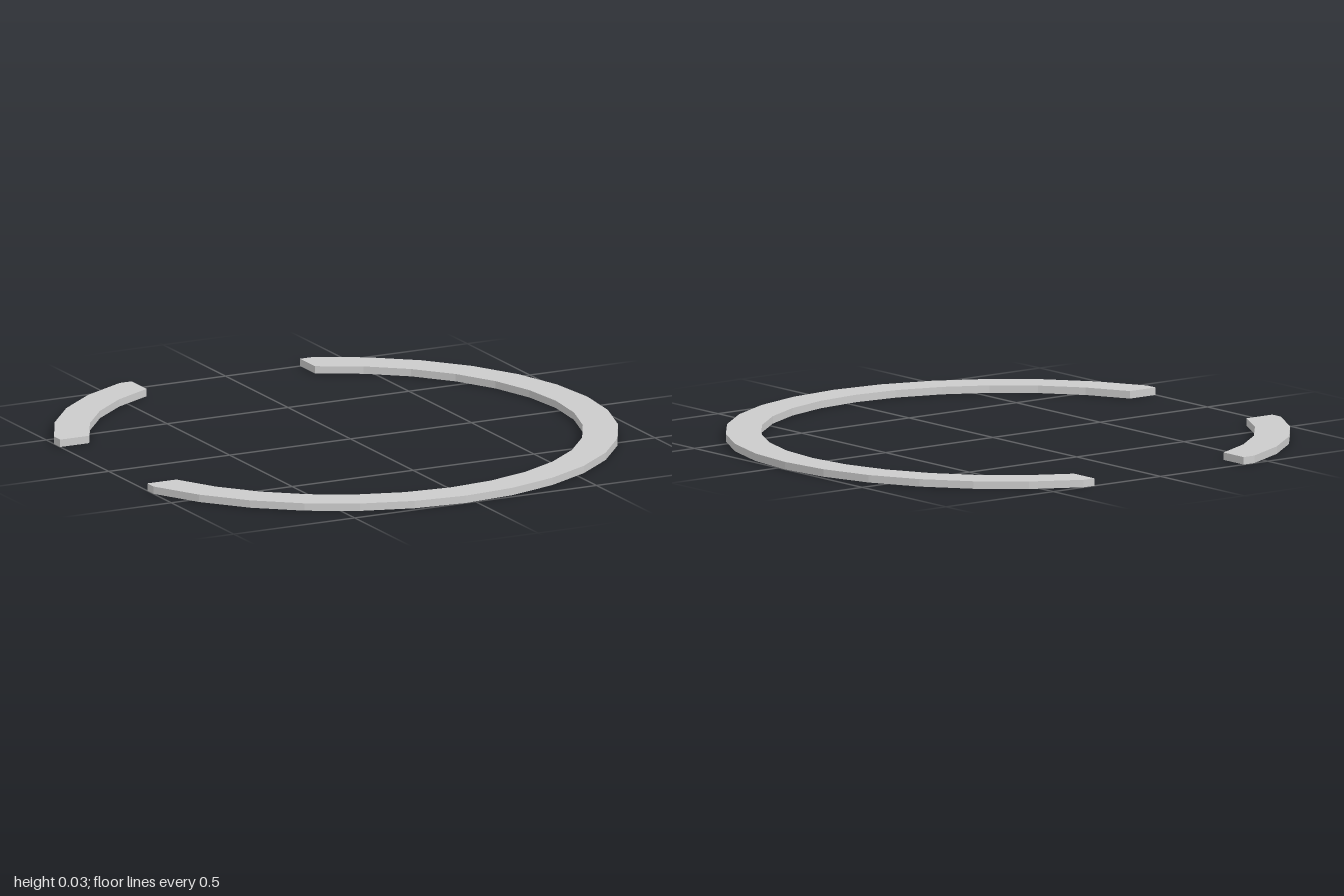
import * as THREE from 'three';

const SEGMENTS = 32;
const OUTER = 1.0396;
const INNER = 0.9097;
const THICKNESS = 0.028;
const OFFSET = 0.0396; // ring centre sits slightly back and to the right

// Corner k of the 32-sided ring; plan y points to the back
function ringPoint(radius, k) {
  const a = (k / SEGMENTS) * Math.PI * 2;
  return new THREE.Vector2(radius * Math.cos(a) - OFFSET, radius * Math.sin(a) + OFFSET);
}

// Square end corner: flush with the gap on one axis, with the outer rim on the other
function endCorner(k) {
  const o = ringPoint(OUTER, k);
  const i = ringPoint(INNER, k);
  const facesBack = Math.abs(o.y - OFFSET) > Math.abs(o.x + OFFSET);
  return facesBack ? new THREE.Vector2(i.x, o.y) : new THREE.Vector2(o.x, i.y);
}

// Flat faceted arc from corner k0 to corner k1 with square-cut ends
function arcSegment(name, k0, k1, material) {
  const points = [endCorner(k0)];
  for (let k = k0; k <= k1; k++) points.push(ringPoint(OUTER, k));
  points.push(endCorner(k1));
  for (let k = k1; k >= k0; k--) points.push(ringPoint(INNER, k));
  const geometry = new THREE.ExtrudeGeometry(new THREE.Shape(points), {
    depth: THICKNESS,
    bevelEnabled: false,
  });
  geometry.rotateX(-Math.PI / 2);
  const mesh = new THREE.Mesh(geometry, material);
  mesh.name = name;
  return mesh;
}

export function createModel() {
  const group = new THREE.Group();
  group.name = 'splitRing';
  const material = new THREE.MeshStandardMaterial({ color: 0xcccccc, flatShading: true });
  group.add(arcSegment('mainArc', -14, 6, material));
  group.add(arcSegment('shortArc', 10, 14, material));
  return group;
}
